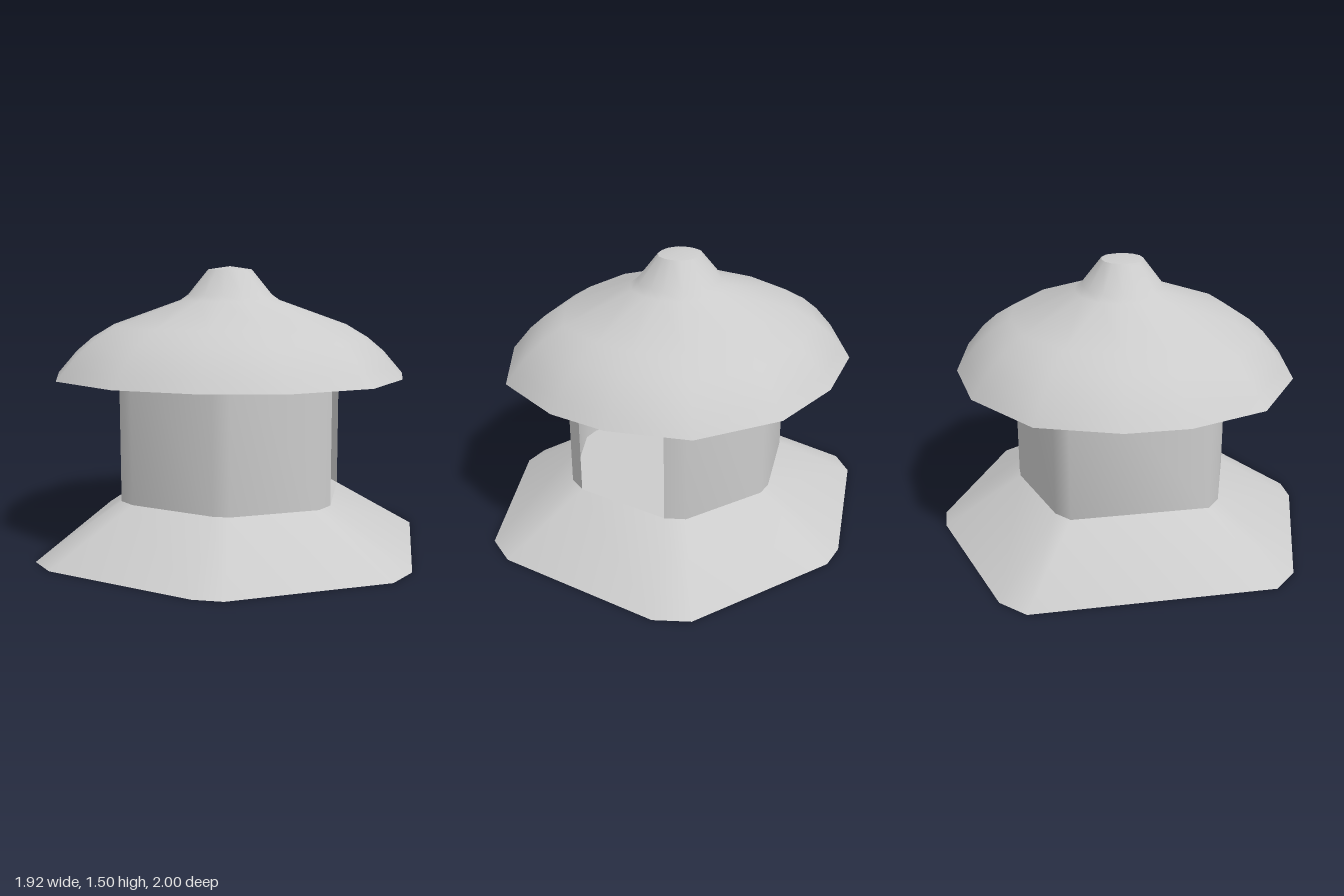
import * as THREE from 'three';
import { toCreasedNormals } from 'three/addons/utils/BufferGeometryUtils.js';

const material = new THREE.MeshStandardMaterial({ color: 0xcccccc, side: THREE.DoubleSide });

// Complete a half outline of [x, z] points by mirroring it across z = 0
const mirrorZ = (half) => [
  ...half,
  ...half.slice().reverse().filter(([, z]) => z !== 0).map(([x, z]) => [x, -z]),
];

// Skin a stack of rings (arrays of [x, y, z]); an open skin skips the closing side
function loft(rings, closed, crease) {
  const n = rings[0].length;
  const index = [];
  for (let r = 0; r < rings.length - 1; r++) {
    for (let i = 0; i < (closed ? n : n - 1); i++) {
      const j = (i + 1) % n;
      const a = r * n + i, b = r * n + j, c = b + n, d = a + n;
      index.push(a, d, c, a, c, b);
    }
  }
  const geometry = new THREE.BufferGeometry();
  geometry.setAttribute('position', new THREE.Float32BufferAttribute(rings.flat(2), 3));
  geometry.setIndex(index);
  return toCreasedNormals(geometry, crease);
}

// Flat panel filling an outline, facing down, with height given by a rule
function panel(outline, height) {
  const shape = new THREE.Shape(outline.map(([x, z]) => new THREE.Vector2(x, z)));
  const geometry = new THREE.ShapeGeometry(shape).rotateX(Math.PI / 2);
  const p = geometry.attributes.position;
  for (let i = 0; i < p.count; i++) p.setY(i, height(p.getX(i)));
  geometry.computeVertexNormals();
  return geometry;
}

export function createModel() {
  const model = new THREE.Group();
  const add = (name, geometry) => {
    const mesh = new THREE.Mesh(geometry, material);
    mesh.name = name;
    model.add(mesh);
  };
  const at = (outline, y) => outline.map(([x, z]) => [x, y, z]);

  // Six-sided outlines with bevelled corners
  const foot = mirrorZ([[0.96, 0.45], [0.87, 0.62], [0.12, 1], [-0.03, 1], [-0.81, 0.745], [-0.93, 0.62]]);
  const room = mirrorZ([[0.54, 0.26], [0.49, 0.36], [0.07, 0.575], [-0.02, 0.575], [-0.47, 0.43], [-0.55, 0.36]]);

  // Hollow flared skirt, open at the bottom
  add('base', loft([at(foot, 0), at(room, 0.27)], true, 0.9));
  add('floor', panel(room, () => 0.27));

  // Walls with one whole side left open as a doorway
  add('walls', loft([at(room, 0.27), at(room, 1.15)], false, 0.9));
  const lintel = new THREE.PlaneGeometry(0.52, 0.2).rotateY(Math.PI / 2).translate(0.54, 1.05, 0);
  add('lintel', lintel);
  add('ceiling', panel(room, (x) => 0.875 + 0.137 * x));

  // Fourteen-sided roof shell: the rim outline scaled by a curved profile
  const rim = mirrorZ([[0.925, 0.155], [0.79, 0.545], [0.415, 0.81], [0, 0.875], [-0.415, 0.81], [-0.79, 0.545], [-0.925, 0.155]]);
  const profile = [
    [1, 0.92], [0.945, 0.98], [0.89, 1.04], [0.795, 1.115], [0.67, 1.185],
    [0.285, 1.315], [0.24, 1.345], [0.125, 1.478], [0.001, 1.495],
  ];
  const rings = profile.map(([s, y]) => rim.map(([x, z]) => [x * s - 0.035, y, z * s - 0.005]));
  add('roof', loft(rings, true, 0.6));

  return model;
}
